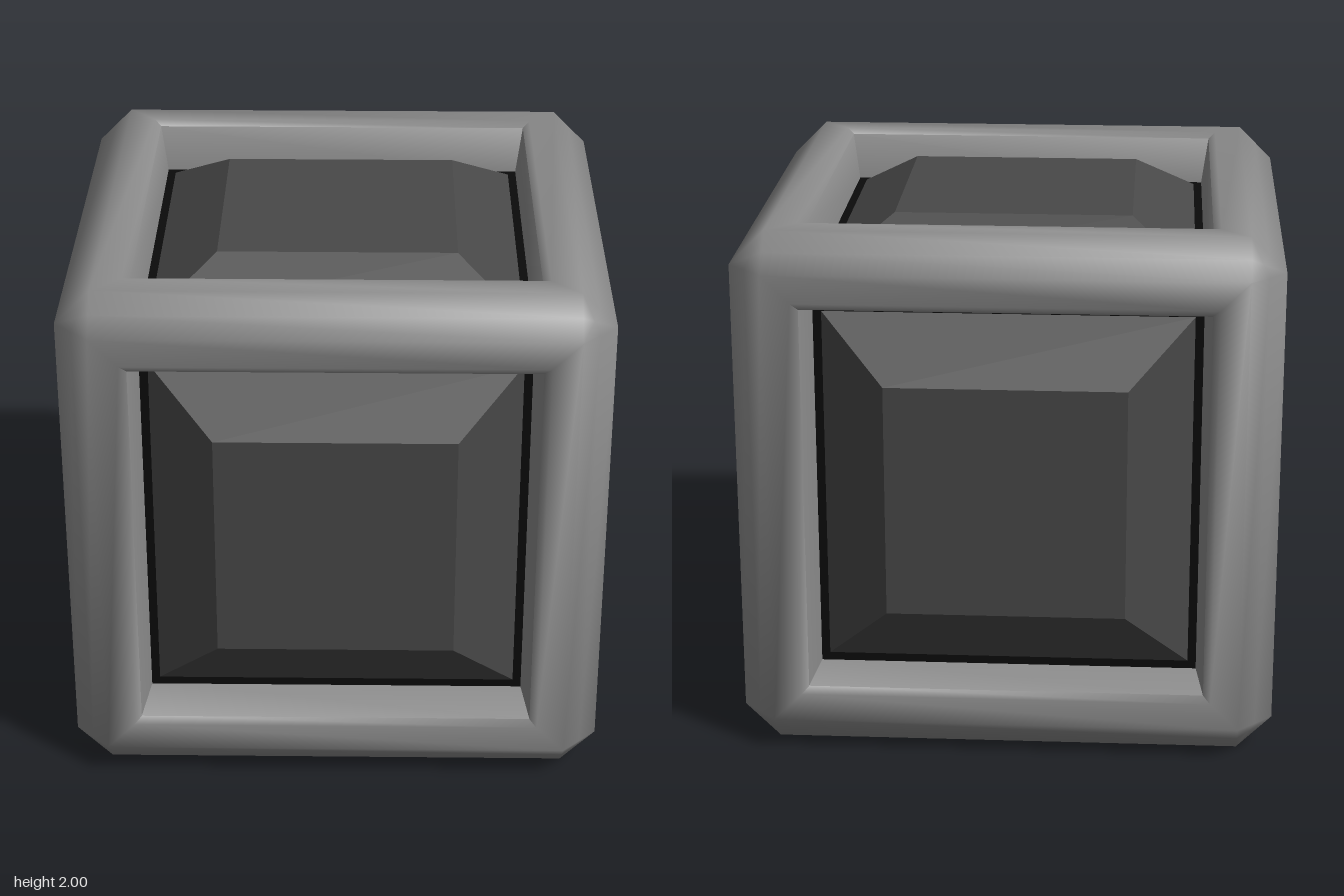
import * as THREE from 'three';
import { mergeGeometries, toCreasedNormals } from 'three/addons/utils/BufferGeometryUtils.js';

// rotations that carry the top face to each of the six faces
const H = Math.PI / 2;
const FACES = {
  top: [0, 0, 0], bottom: [Math.PI, 0, 0],
  front: [H, 0, 0], back: [-H, 0, 0],
  left: [0, 0, -H], right: [0, 0, H],
};

const FLAT = 0.87;              // where the outer chamfer starts
const MID = (1 + FLAT) / 2;     // middle of a chamfered edge
const TIP = (1 + 2 * FLAT) / 3; // centre of a chamfered corner

// one face of the frame: four mitred sides plus its share of edges and corners
function frameFace() {
  // [distance from face centre, height, half length]
  const rings = [
    [0.71, 0.79, 0.71], [0.738, 0.98, 0.738], [0.765, 1, 0.765],
    [FLAT, 1, FLAT], [MID, MID, FLAT],
  ];
  const pos = [];
  const quad = (a, b, c, d) => pos.push(...a, ...b, ...c, ...a, ...c, ...d);
  for (let i = 0; i < rings.length - 1; i++) {
    const [r0, h0, e0] = rings[i];
    const [r1, h1, e1] = rings[i + 1];
    quad([-e0, h0, r0], [-e1, h1, r1], [e1, h1, r1], [e0, h0, r0]);
  }
  quad([FLAT, 1, FLAT], [FLAT, MID, MID], [TIP, TIP, TIP], [MID, MID, FLAT]);
  const side = new THREE.BufferGeometry();
  side.setAttribute('position', new THREE.Float32BufferAttribute(pos, 3));
  return mergeGeometries([0, 1, 2, 3].map((k) => side.clone().rotateY(k * H)));
}

export function createModel() {
  const model = new THREE.Group();
  model.name = 'framedCube';
  const body = new THREE.Group();
  body.name = 'cube';
  body.position.y = 1;
  model.add(body);

  const frameMat = new THREE.MeshStandardMaterial({ color: 0x8c8c8c });
  const panelMat = new THREE.MeshStandardMaterial({ color: 0x484848, flatShading: true });
  const coreMat = new THREE.MeshStandardMaterial({ color: 0x0b0b0b });

  // rounded outer frame
  const turns = Object.values(FACES).map(
    (r) => new THREE.Quaternion().setFromEuler(new THREE.Euler(...r)));
  const face = frameFace();
  const frameGeo = toCreasedNormals(
    mergeGeometries(turns.map((q) => face.clone().applyQuaternion(q))), 1.05);
  const frame = new THREE.Mesh(frameGeo, frameMat);
  frame.name = 'frame';
  body.add(frame);

  // black core, seen as a thin gap around each panel
  const core = new THREE.Mesh(new THREE.BoxGeometry(1.6, 1.6, 1.6), coreMat);
  core.name = 'core';
  body.add(core);

  // raised bevelled panel on every face
  const panelGeo = new THREE.CylinderGeometry(0.443 * Math.SQRT2, 0.68 * Math.SQRT2, 0.16, 4)
    .rotateY(Math.PI / 4).translate(0, 0.88, 0);
  Object.keys(FACES).forEach((name, i) => {
    const panel = new THREE.Mesh(panelGeo, panelMat);
    panel.name = `${name}Panel`;
    panel.quaternion.copy(turns[i]);
    body.add(panel);
  });

  return model;
}
